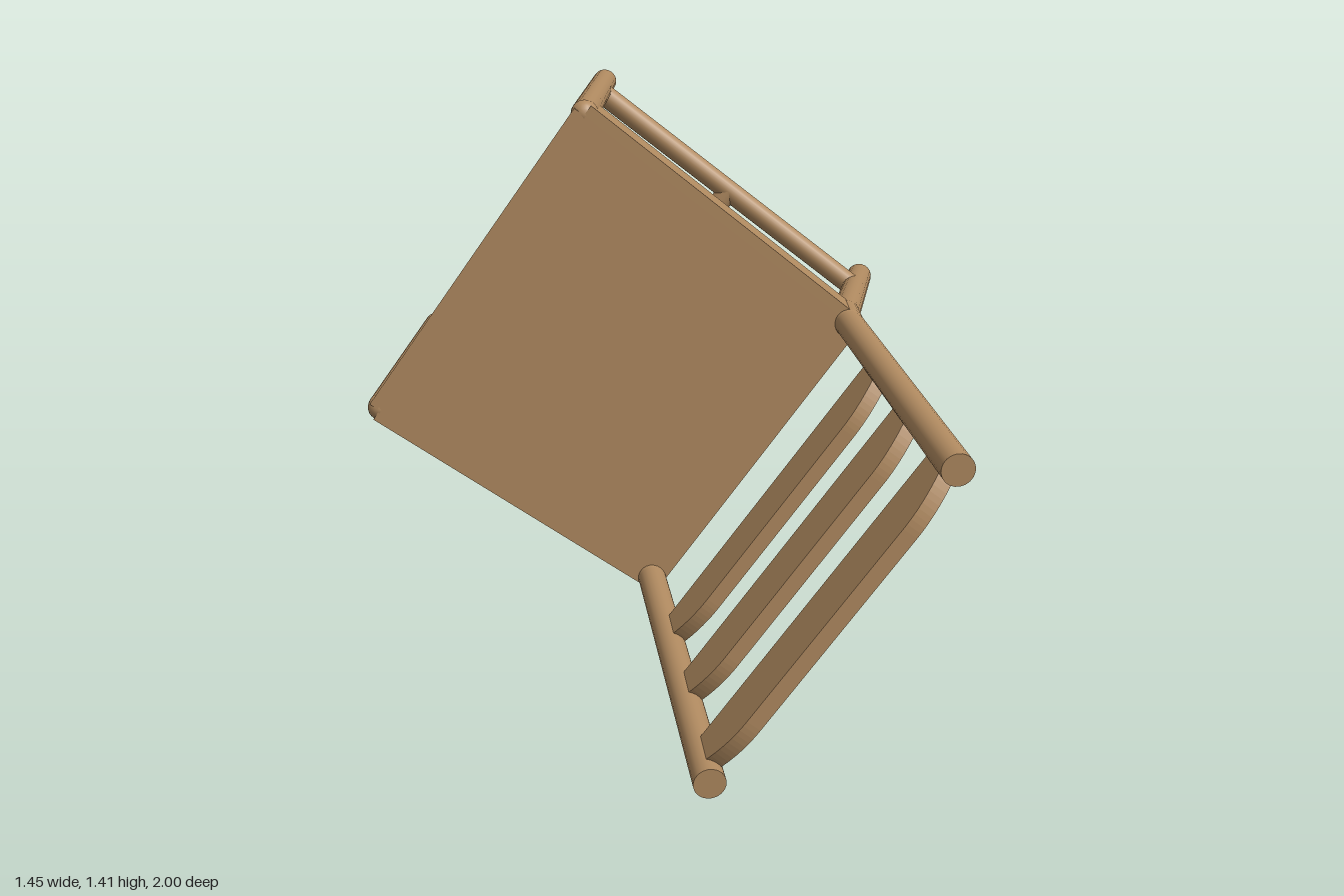
import * as THREE from 'three';

const V = (x, y, z) => new THREE.Vector3(x, y, z);
const wood = new THREE.MeshStandardMaterial({ color: 0xb08a60 });

// Corner centres of the seat, in the x-y plane (the chair lies on its side, its top towards +z)
const FRONT = [V(-0.14, 1.38, 0), V(-0.69, 0.6, 0)];
const BACK = [V(0.545, 0.845, 0), V(0.035, 0.135, 0)];
const BACK_TOP = [V(0.685, 0.757, 0.994), V(0.183, 0.039, 0.994)];
const BACK_FOOT = [V(0.67, 0.768, -0.994), V(0.163, 0.046, -0.994)];
const SEAT_TOP = 0.035, SEAT_BOTTOM = -0.1;

export function createModel() {
  const model = new THREE.Group();

  function add(name, geometry, parent = model) {
    const mesh = new THREE.Mesh(geometry, wood);
    mesh.name = name;
    parent.add(mesh);
    return mesh;
  }

  // Round bar between two points
  function rod(name, a, b, r, parent) {
    const dir = b.clone().sub(a);
    const mesh = add(name, new THREE.CylinderGeometry(r, r, dir.length(), 20), parent);
    mesh.position.copy(a).add(b).multiplyScalar(0.5);
    mesh.quaternion.setFromUnitVectors(V(0, 1, 0), dir.normalize());
    return mesh;
  }

  function knob(name, p, r, parent) {
    add(name, new THREE.SphereGeometry(r, 20, 14), parent).position.copy(p);
  }

  // Straight front legs with rounded tops
  FRONT.forEach((p) => {
    const leg = new THREE.Group();
    leg.name = 'frontLeg';
    model.add(leg);
    const top = V(p.x, p.y, 0);
    rod('frontLegShaft', V(p.x, p.y, -1), top, 0.036, leg);
    knob('frontLegTop', top, 0.036, leg);
  });

  // Back posts: splayed leg, short knee at the seat, raked upper post
  BACK.forEach((p, i) => {
    const post = new THREE.Group();
    post.name = 'backPost';
    model.add(post);
    const low = V(p.x, p.y, -0.08), high = V(p.x, p.y, 0.03);
    rod('backLeg', BACK_FOOT[i], low, 0.038, post);
    rod('backKnee', low, high, 0.038, post);
    rod('backUpright', high, BACK_TOP[i], 0.037, post);
    knob('backJoint', low, 0.038, post);
    knob('backJoint', high, 0.038, post);
  });

  // Seat panel, set inside four rails
  const outline = [FRONT[0], FRONT[1], BACK[1], BACK[0]];
  const panel = new THREE.ExtrudeGeometry(
    new THREE.Shape(outline.map((p) => new THREE.Vector2(p.x, p.y))),
    { depth: 0.07, bevelEnabled: false });
  add('seatPanel', panel).position.z = SEAT_TOP - 0.07;
  outline.forEach((a, i) => {
    const b = outline[(i + 1) % 4];
    const rail = add('seatRail', new THREE.BoxGeometry(a.distanceTo(b), 0.06, SEAT_TOP - SEAT_BOTTOM));
    rail.position.set((a.x + b.x) / 2, (a.y + b.y) / 2, (SEAT_TOP + SEAT_BOTTOM) / 2);
    rail.rotation.z = Math.atan2(b.y - a.y, b.x - a.x);
  });

  // Stretchers: one along each side and a crossbar between them
  const zS = -0.668;
  const middles = FRONT.map((p, i) => {
    const a = V(p.x, p.y, zS);
    const b = BACK[i].clone().lerp(BACK_FOOT[i], 0.64).setZ(zS);
    rod('sideStretcher', a, b, 0.031);
    return a.lerp(b, 0.5);
  });
  rod('crossStretcher', middles[0], middles[1], 0.031);

  // Back slats: straight lower edge, upper edge falling away at both ends
  const across = BACK[0].clone().sub(BACK[1]);
  const width = across.length();
  const u = across.normalize();
  const n = V(u.y, -u.x, 0);
  const rake = BACK_TOP[0].clone().sub(BACK[0]).divideScalar(0.994);
  const h = width / 2, thick = 0.036;
  [0.31, 0.59, 0.868].forEach((z) => {
    const s = new THREE.Shape();
    s.moveTo(-h, 0);
    s.lineTo(h, 0);
    s.lineTo(h, 0.075);
    s.quadraticCurveTo(h * 0.8, 0.128, h * 0.62, 0.128);
    s.lineTo(-h * 0.62, 0.128);
    s.quadraticCurveTo(-h * 0.8, 0.128, -h, 0.075);
    const g = new THREE.ExtrudeGeometry(s, { depth: thick, bevelEnabled: false });
    g.translate(0, 0, -thick / 2);
    const t = z / 0.994;
    const mid = BACK[0].clone().lerp(BACK_TOP[0], t)
      .add(BACK[1].clone().lerp(BACK_TOP[1], t)).multiplyScalar(0.5);
    g.applyMatrix4(new THREE.Matrix4().makeBasis(u, rake, n).setPosition(mid));
    add('backSlat', g);
  });

  return model;
}
